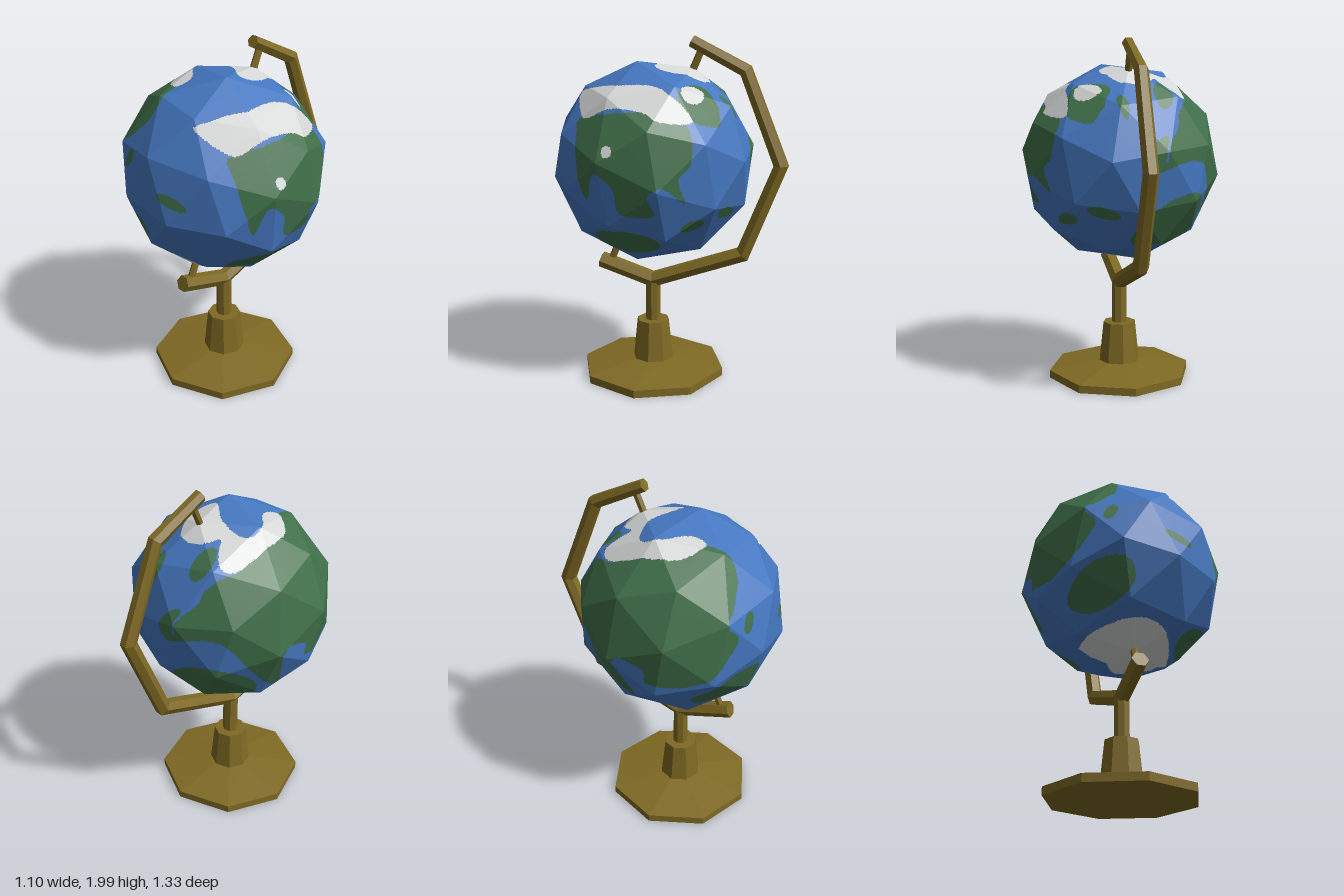
import * as THREE from 'three';

const RADIUS = 0.58, TILT = THREE.MathUtils.degToRad(23.5);
const CENTRE = new THREE.Vector3(0, 1.29, 0.11);
const AXIS = new THREE.Vector3(0, Math.cos(TILT), -Math.sin(TILT));

// Flat map sheet laid over one side of the globe, facing a given azimuth and elevation.
function makeSheet(azimuth, elevation) {
  const a = THREE.MathUtils.degToRad(azimuth), e = THREE.MathUtils.degToRad(elevation);
  const facing = new THREE.Vector3(Math.sin(a) * Math.cos(e), Math.sin(e), Math.cos(a) * Math.cos(e));
  const right = new THREE.Vector3(Math.cos(a), 0, -Math.sin(a));
  return { facing, right, up: facing.clone().cross(right) };
}

function covers({ sheet, outline, box }, p) {
  if (p.dot(sheet.facing) < 0.05) return false;
  const x = p.dot(sheet.right) * 100, y = p.dot(sheet.up) * 100;
  if (x < box.min.x || x > box.max.x || y < box.min.y || y > box.max.y) return false;
  let inside = false;
  for (let i = 0, j = outline.length - 1; i < outline.length; j = i++) {
    const a = outline[i], b = outline[j];
    if ((a.y > y) !== (b.y > y) && x < (b.x - a.x) * (y - a.y) / (b.y - a.y) + a.x) inside = !inside;
  }
  return inside;
}

// Land and snow as smooth outlines and ovals, in hundredths of a unit from the globe's centre.
function paintMap() {
  const map = { snow: [], land: [] };
  const front = makeSheet(0, 0), side = makeSheet(90, 0), top = makeSheet(0, 90);
  const backLeft = makeSheet(215, 24), backRight = makeSheet(140, -28);
  const paint = (kind, sheet, outline) =>
    map[kind].push({ sheet, outline, box: new THREE.Box2().setFromPoints(outline) });
  const shore = (kind, sheet, coords) => {
    const points = [];
    for (let i = 0; i < coords.length; i += 2) points.push(new THREE.Vector2(coords[i], coords[i + 1]));
    const curve = new THREE.SplineCurve([points.at(-1), ...points, points[0], points[1]]);
    const n = points.length * 4 + 8, laps = curve.getPoints(n);
    paint(kind, sheet, laps.slice(4, n - 4));
  };
  const oval = (kind, sheet, x, y, rx, ry, turn = 0) =>
    paint(kind, sheet, new THREE.EllipseCurve(x, y, rx, ry, 0, Math.PI * 2, false, turn * Math.PI / 180).getPoints(20));

  // northern snow, a peak, and the southern ice
  shore('snow', side, [-37, 38, -32, 42, -13, 45, 13, 44, 31, 28, 16, 28, 5, 33, -13, 34, -28, 28]);
  shore('snow', top, [-32, 23, -26, 32, -19, 27, -15, 22, -9, 30, 6, 31, 14, 14, 9, 3, -8, 14, -23, 13, -25, 2,
    -13, -11, -15, -21, -31, -8]);
  oval('snow', top, 24, 28, 8, 4, -30);
  oval('snow', side, -11, 13, 3, 3);
  oval('snow', front, -2, -52, 27, 11);
  oval('snow', backRight, -12, -51, 17, 9);

  // large continent on the right of the globe
  shore('land', front, [-33, 46, -14, 49, -16, 34, -34, 19, -29, 7, -47, -18, -63, -6, -63, 20]);
  shore('land', top, [-15, 56, -25, 41, -33, 15, -16, -23, -15, -37, -35, -42, -61, -23, -61, 23, -44, 46]);
  shore('land', backLeft, [12, 18, 33, 41, 64, 14, 64, -20, 40, -19, 31, -45, 7, -20, -25, -22, -10, -11, -4, 7]);
  oval('land', backLeft, -1, -45, 24, 10);
  oval('land', backLeft, -7, 20, 10, 5, 60);
  oval('land', front, -23, -25, 16, 12, 25);

  // continent on the left of the globe
  shore('land', side, [-28, 29, 13, 33, 30, 24, 32, 7, 26, -1, 29, -14, 19, -5, 11, -10, 13, -21, -5, -20, -8, -7,
    -19, 1, -24, -14, -29, -3, -32, 20]);
  oval('land', side, 32, 35, 13, 6, -45);
  oval('land', side, -6, -39, 20, 8);

  // islands
  oval('land', side, 31, -28, 6, 3, 25);
  oval('land', front, -21, 15, 6, 3, 60);
  oval('land', front, 16, 3, 9, 3, -15);
  oval('land', top, 8, 44, 5, 3, -70);
  oval('land', top, 26, 34, 10, 6, -60);
  oval('land', backRight, 15, 1, 9, 4, -28);
  oval('land', backRight, 42, 23, 4, 7);
  return map;
}

function geometryFrom(positions) {
  const g = new THREE.BufferGeometry();
  g.setAttribute('position', new THREE.Float32BufferAttribute(positions, 3));
  g.computeVertexNormals();
  return g;
}

// Faceted globe: each facet is cut into a fine flat grid and sorted by colour.
function buildGlobe(materials) {
  const ball = new THREE.IcosahedronGeometry(RADIUS, 1);
  ball.rotateZ(-Math.atan(2 / (1 + Math.sqrt(5)))).rotateX(-TILT);
  const pos = ball.attributes.position, N = 36;
  const map = paintMap();
  const cells = { ocean: [], land: [], snow: [] };
  const mid = new THREE.Vector3();
  const addCell = (p, q, r) => {
    mid.copy(p).add(q).add(r).divideScalar(3);
    const polar = mid.dot(AXIS) < -0.94 * mid.length();
    const kind = polar || map.snow.some(s => covers(s, mid)) ? 'snow'
      : map.land.some(s => covers(s, mid)) ? 'land' : 'ocean';
    for (const v of [p, q, r]) cells[kind].push(v.x, v.y, v.z);
  };
  for (let f = 0; f < pos.count; f += 3) {
    const [a, b, c] = [0, 1, 2].map(k => new THREE.Vector3().fromBufferAttribute(pos, f + k));
    const u = b.clone().sub(a).divideScalar(N), v = c.clone().sub(a).divideScalar(N);
    const at = (i, j) => a.clone().addScaledVector(u, i).addScaledVector(v, j);
    for (let i = 0; i < N; i++) for (let j = 0; j < N - i; j++) {
      addCell(at(i, j), at(i + 1, j), at(i, j + 1));
      if (i + j < N - 1) addCell(at(i + 1, j), at(i + 1, j + 1), at(i, j + 1));
    }
  }
  const globe = new THREE.Group();
  globe.name = 'globe';
  globe.position.copy(CENTRE);
  for (const kind of Object.keys(cells)) {
    const mesh = new THREE.Mesh(geometryFrom(cells[kind]), materials[kind]);
    mesh.name = kind;
    globe.add(mesh);
  }
  return globe;
}

// Six-sided mitred bar along a path of [z, y], tapering from r0 to r1.
function buildBar(path, r0, r1) {
  const centres = path.map(([z, y]) => new THREE.Vector3(0, y, z));
  const step = i => centres[i + 1].clone().sub(centres[i]).normalize();
  const last = path.length - 1, X = new THREE.Vector3(1, 0, 0);
  const rings = centres.map((centre, i) => {
    const after = step(Math.min(i, last - 1));
    const t = step(Math.max(i - 1, 0)).add(after).normalize();
    const n = t.clone().cross(X).divideScalar(t.dot(after));
    const r = THREE.MathUtils.lerp(r0, r1, (i / last) ** 2);
    return Array.from({ length: 6 }, (_, k) => centre.clone()
      .addScaledVector(X, r * Math.cos(k * Math.PI / 3)).addScaledVector(n, r * Math.sin(k * Math.PI / 3)));
  });
  const out = [];
  const tri = (...vs) => vs.forEach(v => out.push(v.x, v.y, v.z));
  for (let k = 0; k < 6; k++) {
    const m = (k + 1) % 6;
    for (let i = 0; i < last; i++) {
      tri(rings[i][k], rings[i][m], rings[i + 1][m]);
      tri(rings[i][k], rings[i + 1][m], rings[i + 1][k]);
    }
    tri(centres[0], rings[0][m], rings[0][k]);
    tri(centres[last], rings[last][k], rings[last][m]);
  }
  return geometryFrom(out);
}

// Flat-sided column
function column(rTop, rBottom, height, sides) {
  const g = new THREE.CylinderGeometry(rTop, rBottom, height, sides).toNonIndexed();
  g.computeVertexNormals();
  return g;
}

export function createModel() {
  const mat = (name, color) => Object.assign(new THREE.MeshStandardMaterial({ color }), { name });
  const materials = {
    ocean: mat('ocean blue', 0x4577c0), land: mat('land green', 0x40704a),
    snow: mat('snow white', 0xd6d8d8), brass: mat('brass', 0x7f6a24),
  };
  const model = new THREE.Group();
  model.name = 'deskGlobe';
  const add = (name, geometry) => {
    const mesh = new THREE.Mesh(geometry, materials.brass);
    mesh.name = name;
    model.add(mesh);
    return mesh;
  };

  model.add(buildGlobe(materials));

  // octagonal stand, stacked from the floor up
  const stack = (name, rTop, rBottom, y0, y1) =>
    add(name, column(rTop, rBottom, y1 - y0, 8)).position.set(0, (y0 + y1) / 2, 0.12);
  stack('footSlab', 0.427, 0.427, 0, 0.045);
  stack('footSlope', 0.122, 0.427, 0.045, 0.088);
  stack('neck', 0.097, 0.122, 0.088, 0.325);
  stack('post', 0.045, 0.045, 0.325, 0.56);

  // curved arm round the back
  add('arm', buildBar([[0.44, 0.672], [0.12, 0.572], [-0.415, 0.765], [-0.622, 1.29], [-0.415, 1.81], [-0.11, 1.966]],
    0.048, 0.036));

  // axle pins at both poles
  for (const [name, s] of [['upperPin', 1], ['lowerPin', -1]]) {
    const pin = add(name, column(0.021, 0.021, 0.16, 6));
    pin.position.copy(CENTRE).addScaledVector(AXIS, s * 0.62);
    pin.rotation.x = -TILT;
  }
  return model;
}
